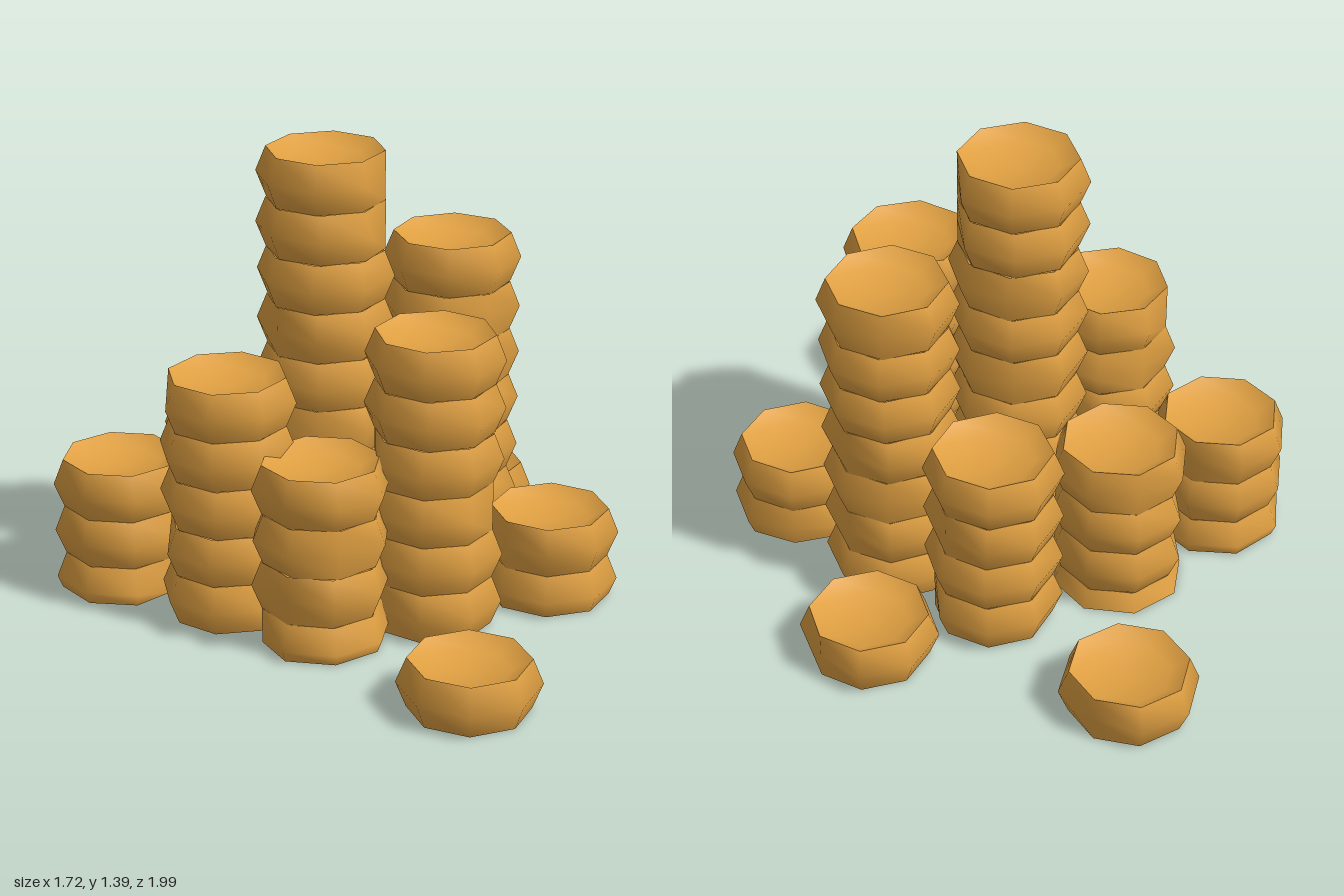
import * as THREE from 'three';
import { mergeVertices } from 'three/addons/utils/BufferGeometryUtils.js';

const SIDES = 8;
const HEIGHT = 0.1545;
const R_RIM = 0.18;
const R_MID = 0.211;

const amber = new THREE.MeshStandardMaterial({ color: 0xe0a042, side: THREE.DoubleSide });
amber.name = 'amber';

// Eight-sided lathe with smooth normals and no seam
function turned(points, edit) {
  const geo = new THREE.LatheGeometry(points.map(([r, y]) => new THREE.Vector2(r, y)), SIDES);
  geo.deleteAttribute('uv');
  geo.deleteAttribute('normal');
  if (edit) edit(geo.attributes.position);
  const merged = mergeVertices(geo, 1e-4);
  merged.computeVertexNormals();
  return merged;
}

// One corner of the bulging wall is pressed flat
function pressCorner(pos) {
  for (let i = 0; i < pos.count; i++) {
    if (Math.abs(pos.getX(i)) < 1e-4 && pos.getZ(i) > R_RIM) pos.setZ(i, R_RIM);
  }
}

// Cup open underneath, with a shallow dish on top; cut off at the ground if sunk
function makeCup(base, angle) {
  const mid = base + HEIGHT / 2;
  const top = base + HEIGHT;
  const wall = [[R_RIM, base], [R_MID, mid], [R_RIM, top]];
  if (base < -0.001) {
    const t = -base / (HEIGHT / 2);
    if (t < 1) {
      wall[0] = [R_RIM + (R_MID - R_RIM) * t, 0];
    } else {
      wall.shift();
      wall[0] = [R_MID - (R_MID - R_RIM) * (t - 1), 0];
    }
  }
  const cup = new THREE.Group();
  cup.name = 'cup';
  const side = new THREE.Mesh(turned(wall, pressCorner), amber);
  side.name = 'cupWall';
  const dish = new THREE.Mesh(
    turned([[R_RIM, top], [0.125, top - 0.035], [0, top - 0.045]]), amber);
  dish.name = 'cupDish';
  cup.add(side, dish);
  cup.rotation.y = angle;
  return cup;
}

// x, z, top height, number of cups, direction of the top cup's pressed corner
const STACKS = [
  [-0.045, -0.015, 1.395, 9, 1.57],
  [0.315, -0.235, 1.08, 7, 3.2],
  [0.315, 0.235, 0.927, 6, 3.1],
  [-0.3, 0.265, 0.775, 5, -1.65],
  [-0.015, -0.42, 0.625, 4, 0.05],
  [0, 0.405, 0.575, 4, 2.75],
  [-0.375, -0.2, 0.525, 4, -2.75],
  [-0.665, 0.1, 0.425, 3, 2.75],
  [0.65, 0, 0.285, 2, -0.75],
  [0.48, 0.79, HEIGHT, 1, 3.25],
  [-0.455, -0.785, HEIGHT, 1, 2.62],
  [0.335, -0.635, HEIGHT, 1, 2.36],
];

export function createModel() {
  const model = new THREE.Group();
  model.name = 'cupStacks';
  let seed = 7;
  const random = () => {
    seed = (seed * 16807) % 2147483647;
    return seed / 2147483647;
  };
  for (const [x, z, top, count, angle] of STACKS) {
    const stack = new THREE.Group();
    stack.name = count > 1 ? 'stack' : 'looseCup';
    for (let i = 0; i < count; i++) {
      // Lower cups are turned by eighths with a little wobble
      const turn = i === 0 ? 0 : Math.floor(random() * 8) * Math.PI / 4 + (random() - 0.5) * 0.15;
      stack.add(makeCup(top - HEIGHT * (i + 1), angle + turn));
    }
    // Stacks standing on the ground keep their lowest rim at zero
    stack.position.set(x, 0, z);
    model.add(stack);
  }
  return model;
}
